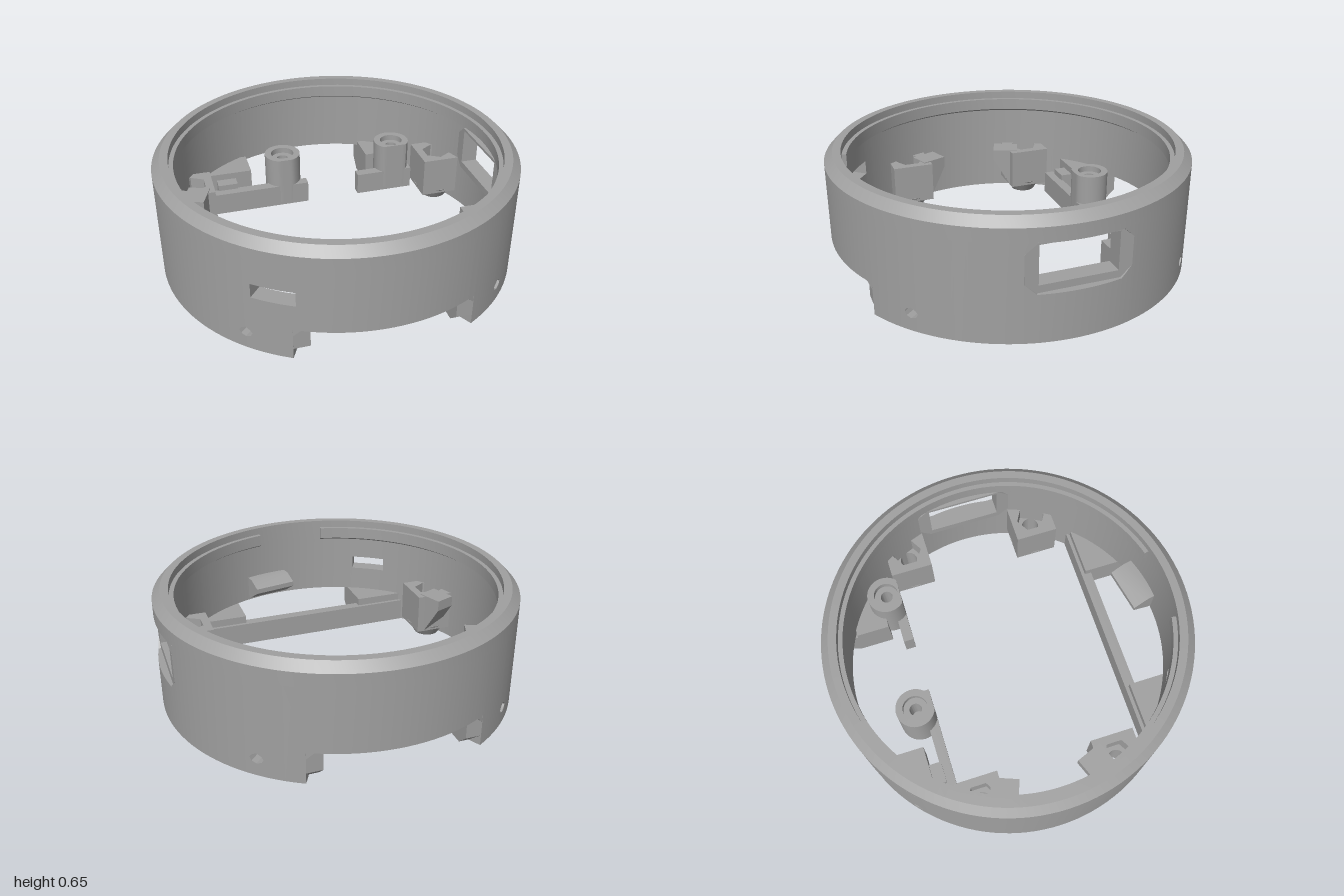
import * as THREE from 'three';
import { toCreasedNormals } from 'three/addons/utils/BufferGeometryUtils.js';

const TAU = Math.PI * 2;
const IN = 0.91, OUT = 1, WALL_TOP = 0.535;
const polar = (phi, r, y) => [r * Math.sin(phi), y, r * Math.cos(phi)];
const wrap = (a) => a - TAU * Math.round(a / TAU);

// Height on a polyline of [angle, y] points
function heightAt(line, t) {
  for (let i = 1; i < line.length; i++) {
    const [t0, y0] = line[i - 1], [t1, y1] = line[i];
    if (t <= t1 + 1e-9) return y0 + (y1 - y0) * (t - t0) / (t1 - t0);
  }
  return line[line.length - 1][1];
}

// Cylindrical wall with openings, each bounded by a low and a high polyline
function wallGeometry(openings) {
  const pos = [];
  const quad = (a, b, c, d) => pos.push(...a, ...b, ...c, ...a, ...c, ...d);
  let cuts = Array.from({ length: 129 }, (_, i) => i / 128 * TAU);
  for (const o of openings)
    for (const [t] of [...o.lo, ...o.hi]) cuts.push((o.c + t + TAU) % TAU);
  cuts = cuts.sort((a, b) => a - b).filter((v, i, s) => i === 0 || v - s[i - 1] > 1e-5);

  // Radial face between inner and outer radius, facing down or up
  const shelf = (a, b, ya, yb, down) => {
    const p = [polar(a, IN, ya), polar(b, IN, yb), polar(b, OUT, yb), polar(a, OUT, ya)];
    quad(...(down ? p : p.reverse()));
  };
  for (let i = 0; i < cuts.length - 1; i++) {
    const a = cuts[i], b = cuts[i + 1], mid = (a + b) / 2;
    const solid = (a0, b0, a1, b1) => {
      if (a1 - a0 < 1e-6 && b1 - b0 < 1e-6) return;
      quad(polar(a, OUT, a0), polar(b, OUT, b0), polar(b, OUT, b1), polar(a, OUT, a1));
      quad(polar(b, IN, b0), polar(a, IN, a0), polar(a, IN, a1), polar(b, IN, b1));
      if (a0 === 0 && b0 === 0) shelf(a, b, 0, 0, true);
    };
    let ya = 0, yb = 0;
    for (const o of openings) {
      const t = wrap(mid - o.c);
      if (t < o.lo[0][0] || t > o.lo[o.lo.length - 1][0]) continue;
      const ta = t - (mid - a), tb = t + (b - mid);
      const la = heightAt(o.lo, ta), lb = heightAt(o.lo, tb);
      solid(ya, yb, la, lb);
      if (la > 0) shelf(a, b, la, lb, false);
      ya = heightAt(o.hi, ta);
      yb = heightAt(o.hi, tb);
      shelf(a, b, ya, yb, true);
    }
    solid(ya, yb, WALL_TOP, WALL_TOP);
  }
  // Side cheeks of the openings
  for (const o of openings) {
    for (const end of [0, 1]) {
      const lo = o.lo.at(-end), hi = o.hi.at(-end), phi = o.c + lo[0];
      const p = [polar(phi, IN, lo[1]), polar(phi, IN, hi[1]), polar(phi, OUT, hi[1]), polar(phi, OUT, lo[1])];
      if (hi[1] - lo[1] > 1e-4) quad(...(end ? p.reverse() : p));
    }
  }
  const g = new THREE.BufferGeometry();
  g.setAttribute('position', new THREE.Float32BufferAttribute(pos, 3));
  return g;
}

export function createModel() {
  const model = new THREE.Group();
  const grey = new THREE.MeshStandardMaterial({ color: 0xa0a0a0, side: THREE.DoubleSide });
  grey.name = 'grey plastic';
  const add = (name, geometry) => {
    const mesh = new THREE.Mesh(toCreasedNormals(geometry, 0.45), grey);
    mesh.name = name;
    model.add(mesh);
    return mesh;
  };
  const box = (name, x0, x1, y0, y1, z0, z1) =>
    add(name, new THREE.BoxGeometry(x1 - x0, y1 - y0, z1 - z0)
      .translate((x0 + x1) / 2, (y0 + y1) / 2, (z0 + z1) / 2));
  const vec = (pts) => pts.map(([x, y]) => new THREE.Vector2(x, y));
  const extrude = (pts, depth, holes = []) => {
    const shape = new THREE.Shape(vec(pts));
    holes.forEach((h) => shape.holes.push(new THREE.Path(vec(h))));
    return new THREE.ExtrudeGeometry(shape, { depth, bevelEnabled: false });
  };
  // Horizontal slab from [x, z] outlines
  const slab = (name, pts, y0, y1, holes = []) => {
    const flip = (l) => l.map(([x, z]) => [x, -z]);
    return add(name, extrude(flip(pts), y1 - y0, holes.map(flip)).rotateX(-Math.PI / 2).translate(0, y0, 0));
  };
  const ngon = (cx, cz, r, n) => Array.from({ length: n }, (_, i) =>
    [cx + r * Math.sin(i / n * TAU), cz + r * Math.cos(i / n * TAU)]);

  // Wall with front and back notches, side window, slot and teardrop holes
  const N = 0.486, W = 0.279;
  const openings = [0, Math.PI].map((c) => ({
    c, lo: [[-N, 0], [N, 0]], hi: [[-N, 0.14], [-N + 0.04, 0.18], [N - 0.04, 0.18], [N, 0.14]],
  }));
  openings.push({
    c: Math.PI / 2,
    lo: [[-W, 0.32], [-W + 0.06, 0.265], [W - 0.06, 0.265], [W, 0.32]],
    hi: [[-W, 0.475], [-W + 0.06, 0.53], [W - 0.06, 0.53], [W, 0.475]],
  });
  for (const c of [0.735, -0.735, Math.PI - 0.735, Math.PI + 0.735]) {
    openings.push({
      c,
      lo: [[-0.038, 0.1], [-0.027, 0.08], [0, 0.07], [0.027, 0.08], [0.038, 0.1]],
      hi: [[-0.038, 0.1], [-0.027, 0.115], [0, 0.13], [0.027, 0.115], [0.038, 0.1]],
    });
  }
  openings.push({ c: -0.58, lo: [[-0.114, 0.325], [0.114, 0.325]], hi: [[-0.114, 0.405], [0.114, 0.405]] });
  add('wall', wallGeometry(openings));

  // Chamfered top rim
  add('rim', new THREE.LatheGeometry(vec([[1, WALL_TOP], [1, 0.61], [0.955, 0.655], [IN, 0.655], [IN, WALL_TOP]]), 128));

  // Inner bead, open at the front
  const bead = [[IN, 0.53], [0.885, 0.545], [0.885, 0.612], [IN, 0.612]];
  add('bead', new THREE.LatheGeometry(vec([...bead].reverse()), 120, 0.228, TAU - 0.456));
  for (const phi of [0.228, -0.228])
    add('beadEnd', new THREE.ShapeGeometry(new THREE.Shape(vec(bead))).rotateY(phi - Math.PI / 2));

  // Recessed flat window frame
  const oct = [[-0.276, 0.32], [-0.216, 0.265], [0.216, 0.265], [0.276, 0.32],
    [0.276, 0.475], [0.216, 0.53], [-0.216, 0.53], [-0.276, 0.475]];
  add('windowFrame', extrude(oct, 0.096, [[[-0.205, 0.305], [0.205, 0.305], [0.205, 0.515], [-0.205, 0.515]]])
    .rotateY(Math.PI / 2).translate(0.867, 0, 0));

  // Corner blocks with undercut tabs, and screw bosses
  for (const sx of [1, -1]) for (const sz of [1, -1]) {
    const m = (pts) => pts.map(([x, z]) => [x * sx, z * sz]);
    slab('cornerBlock', m([[0.38, 0.62], [0.7, 0.62], [0.62, 0.71], [0.49, 0.81], [0.38, 0.81]]), 0, sz > 0 ? 0.18 : 0.21);
    const tab = extrude([[0.8, 0], [0.82, 0], [0.885, 0.06], [0.885, 0.18], [0.8, 0.18]].map(([z, y]) => [z * sz, y]), 0.087);
    add('notchTab', tab.rotateY(-Math.PI / 2).translate(sx > 0 ? 0.467 : -0.38, 0, 0));

    const boss = m([[0.65, 0.27], [0.65, 0.515], [0.78, 0.515], [0.87, 0.4], [0.9, 0.27]]);
    const cx = 0.77 * sx, cz = 0.39 * sz;
    slab('screwBoss', boss, 0.06, 0.2, [ngon(cx, cz, 0.05, 24)]);
    slab('nutPocket', boss, 0.2, 0.3, [ngon(cx, cz, 0.085, 6)]);
    add('bossFoot', new THREE.LatheGeometry(
      vec([[0.05, 0.08], [0.05, 0], [0.075, 0], [0.125, 0.08], [0.05, 0.08]]), 32).translate(cx, 0, cz));
  }

  // Slanted gussets on the two right bosses
  for (const sz of [1, -1]) {
    const g = extrude([[0.07, 0.07], [0.12, 0.07], [0.225, 0.24], [0.225, 0.305], [0.07, 0.305]], 0.125);
    g.translate(0, 0, -0.0625).rotateY(Math.atan2(0.93 * sz, -0.36)).translate(-0.71, 0, 0.4 * sz);
    add('gusset', g);
  }

  // Cross bars
  box('frontBar', -0.68, 0.68, 0, 0.135, 0.6, 0.66);
  box('backBarRight', -0.64, -0.04, 0, 0.135, -0.56, -0.5);
  box('backBarLeft', 0.29, 0.65, 0, 0.135, -0.56, -0.5);
  box('barLink', -0.6, -0.48, 0, 0.17, -0.63, -0.55);

  // Counterbored posts, cut flush with the bars
  for (const [x, z] of [[-0.18, -0.6], [0.535, -0.58]]) {
    const post = new THREE.LatheGeometry(vec([[0, 0.02], [0.11, 0.02], [0.11, 0.315], [0.07, 0.315],
      [0.07, 0.28], [0.035, 0.28], [0.035, 0.12], [0, 0.12]]), 40).translate(x, 0, z);
    const p = post.attributes.position;
    for (let i = 0; i < p.count; i++) p.setZ(i, Math.min(p.getZ(i), -0.499));
    add('post', post);
  }

  // Retaining clip inside the front wall
  const clip = extrude([[-0.03, 0.2], [0.03, 0.2], [0.14, 0.27], [0.14, 0.3], [0.06, 0.335], [-0.03, 0.335]], 0.26);
  add('clip', clip.translate(0, 0, -0.13).rotateY(Math.PI / 2 + 0.19)
    .translate(IN * Math.sin(0.19), 0, IN * Math.cos(0.19)));

  return model;
}
